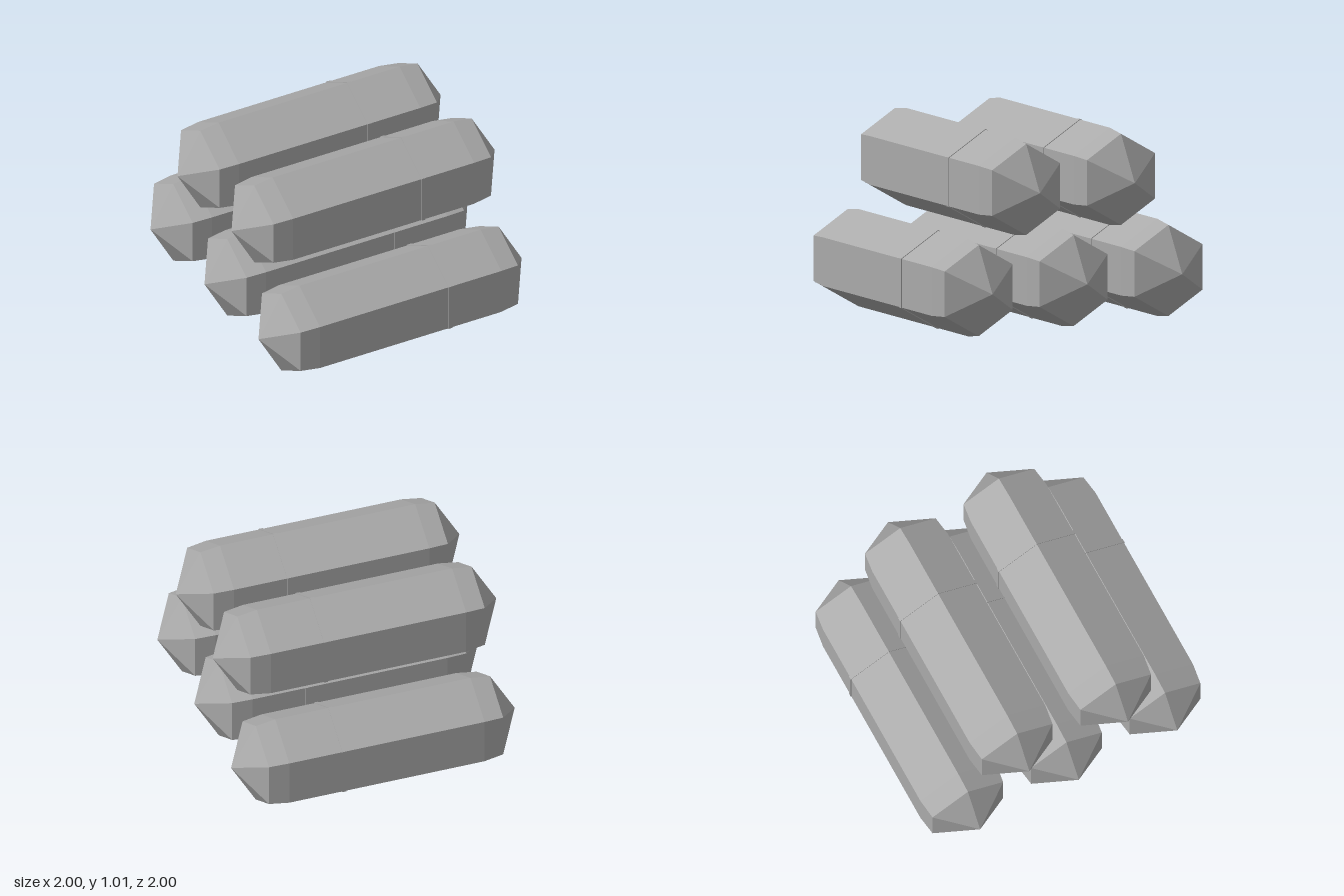
import * as THREE from 'three';

// Six-sided solid of revolution lying along -z with one ridge facing up
function hexLathe(profile) {
  const points = profile.map(([r, y]) => new THREE.Vector2(r, y));
  const geometry = new THREE.LatheGeometry(points, 6).toNonIndexed();
  geometry.rotateX(-Math.PI / 2);
  geometry.computeVertexNormals(); // flat facets
  return geometry;
}

export function createModel() {
  const model = new THREE.Group();
  model.name = 'stackedBars';

  const grey = new THREE.MeshStandardMaterial({ color: 0xaaaaaa });
  grey.name = 'grey';

  // Hexagonal bar with slightly tapered, pointed ends
  const barGeometry = hexLathe([
    [0, -0.77], [0.237, -0.636], [0.253, -0.53],
    [0.253, 0.53], [0.237, 0.636], [0, 0.77],
  ]);
  // Thin raised seam around the bar, nearer its back end
  const seamGeometry = hexLathe([
    [0.25, 0.222], [0.257, 0.222], [0.257, 0.242], [0.25, 0.242],
  ]);

  function addBar(name, offset, y) {
    const bar = new THREE.Group();
    bar.name = name;
    const body = new THREE.Mesh(barGeometry, grey);
    body.name = 'barBody';
    const seam = new THREE.Mesh(seamGeometry, grey);
    seam.name = 'barSeam';
    bar.add(body, seam);
    bar.rotation.y = -Math.PI / 4;
    bar.position.set(offset, y, offset);
    model.add(bar);
  }

  // Three bars below, two resting above the gaps
  [-0.405, 0, 0.405].forEach((d, i) => addBar(`lowerBar${i + 1}`, d, 0.257));
  [-0.2025, 0.2025].forEach((d, i) => addBar(`upperBar${i + 1}`, d, 0.757));

  return model;
}
